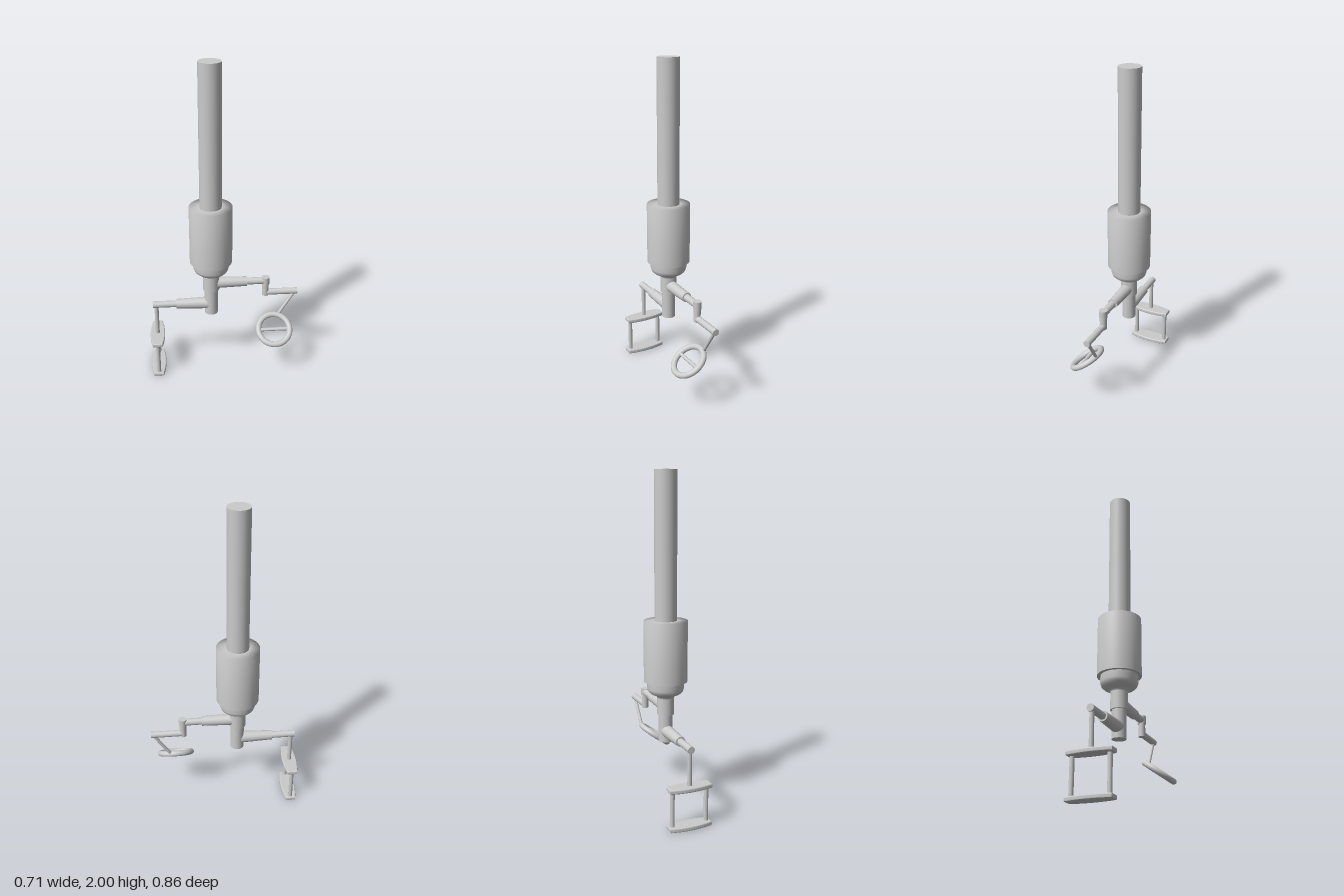
import * as THREE from 'three';

const material = new THREE.MeshStandardMaterial({ color: 0xcccccc });

function mesh(name, geometry, parent) {
  const m = new THREE.Mesh(geometry, material);
  m.name = name;
  parent.add(m);
  return m;
}

// Capped cylinder running from point a to point b
function rod(name, parent, a, b, r0, r1 = r0) {
  const from = new THREE.Vector3(...a), to = new THREE.Vector3(...b);
  const dir = to.clone().sub(from);
  const m = mesh(name, new THREE.CylinderGeometry(r1, r0, dir.length(), 32), parent);
  m.position.copy(from).add(to).multiplyScalar(0.5);
  m.quaternion.setFromUnitVectors(new THREE.Vector3(0, 1, 0), dir.normalize());
  return m;
}

function lathe(name, parent, points) {
  return mesh(name, new THREE.LatheGeometry(points.map(p => new THREE.Vector2(...p)), 48), parent);
}

// Handle end plate: short straight ends, bowed long sides
function plateGeometry() {
  const s = new THREE.Shape();
  const end = 0.026, half = 0.123, bow = 0.056;
  s.moveTo(-end, -half);
  s.lineTo(end, -half);
  s.quadraticCurveTo(bow, 0, end, half);
  s.lineTo(-end, half);
  s.quadraticCurveTo(-bow, 0, -end, -half);
  const g = new THREE.ExtrudeGeometry(s, {
    depth: 0.012, bevelThickness: 0.007, bevelSize: 0.006, bevelSegments: 3, curveSegments: 16,
  });
  g.translate(0, 0, -0.006);
  g.rotateX(-Math.PI / 2);
  return g;
}

export function createModel() {
  const model = new THREE.Group();
  model.name = 'columnWithHandles';

  // Local x runs along the arms, local y is the column axis
  const body = new THREE.Group();
  body.name = 'body';
  body.position.set(-0.04, 0, 0.037);
  body.rotation.y = 0.994;
  model.add(body);

  // Column
  rod('mast', body, [0, 1.1, 0], [0, 2, 0], 0.066);
  lathe('barrel', body, [[0.1, 0.78], [0.13, 0.78], [0.13, 0.78], [0.13, 1.145], [0.066, 1.145]]);
  lathe('collar', body, [
    [0.052, 0.68], [0.056, 0.69], [0.07, 0.698], [0.09, 0.706],
    [0.103, 0.718], [0.11, 0.738], [0.11, 0.785],
  ]);
  rod('neck', body, [0, 0.575, 0], [0, 0.7, 0], 0.051);
  rod('stem', body, [0, 0.405, 0], [0, 0.6, 0], 0.042);

  // Upper arm, cranked down to carry the wheel
  const upper = new THREE.Group();
  upper.name = 'upperArm';
  body.add(upper);
  rod('upperSleeve', upper, [0, 0.62, 0], [0.224, 0.62, 0], 0.037, 0.03);
  rod('upperRod', upper, [0.2, 0.62, 0], [0.343, 0.62, 0], 0.022);
  rod('pinHead', upper, [0.343, 0.597, 0], [0.343, 0.645, 0], 0.025);
  rod('pin', upper, [0.343, 0.516, 0], [0.343, 0.62, 0], 0.021);
  rod('crankRod', upper, [0.343, 0.535, 0], [0.546, 0.535, 0], 0.02);
  rod('wheelStrut', upper, [0.531, 0.53, 0], [0.428, 0.362, 0.007], 0.01);

  // Tilted hand wheel with one crossbar
  const wheel = new THREE.Group();
  wheel.name = 'handWheel';
  wheel.position.set(0.3955, 0.304, 0.087);
  wheel.rotation.x = 0.625;
  upper.add(wheel);
  mesh('rim', new THREE.TorusGeometry(0.1, 0.018, 20, 64), wheel).rotation.x = Math.PI / 2;
  rod('crossbar', wheel, [-0.1, 0, 0], [0.1, 0, 0], 0.011);

  // Lower arm with the hanging handle
  const lower = new THREE.Group();
  lower.name = 'lowerArm';
  body.add(lower);
  rod('lowerSleeve', lower, [0, 0.472, 0], [-0.222, 0.472, 0], 0.038, 0.03);
  rod('lowerRod', lower, [-0.2, 0.472, 0], [-0.37, 0.472, 0], 0.021);

  const handle = new THREE.Group();
  handle.name = 'hangingHandle';
  handle.position.x = -0.348;
  lower.add(handle);
  rod('hanger', handle, [0, 0.245, 0], [0, 0.472, 0], 0.013);
  for (const y of [0.013, 0.244]) mesh('handlePlate', plateGeometry(), handle).position.y = y;
  for (const z of [-0.105, 0.105]) rod('handlePost', handle, [0, 0.013, z], [0, 0.244, z], 0.013);

  return model;
}
